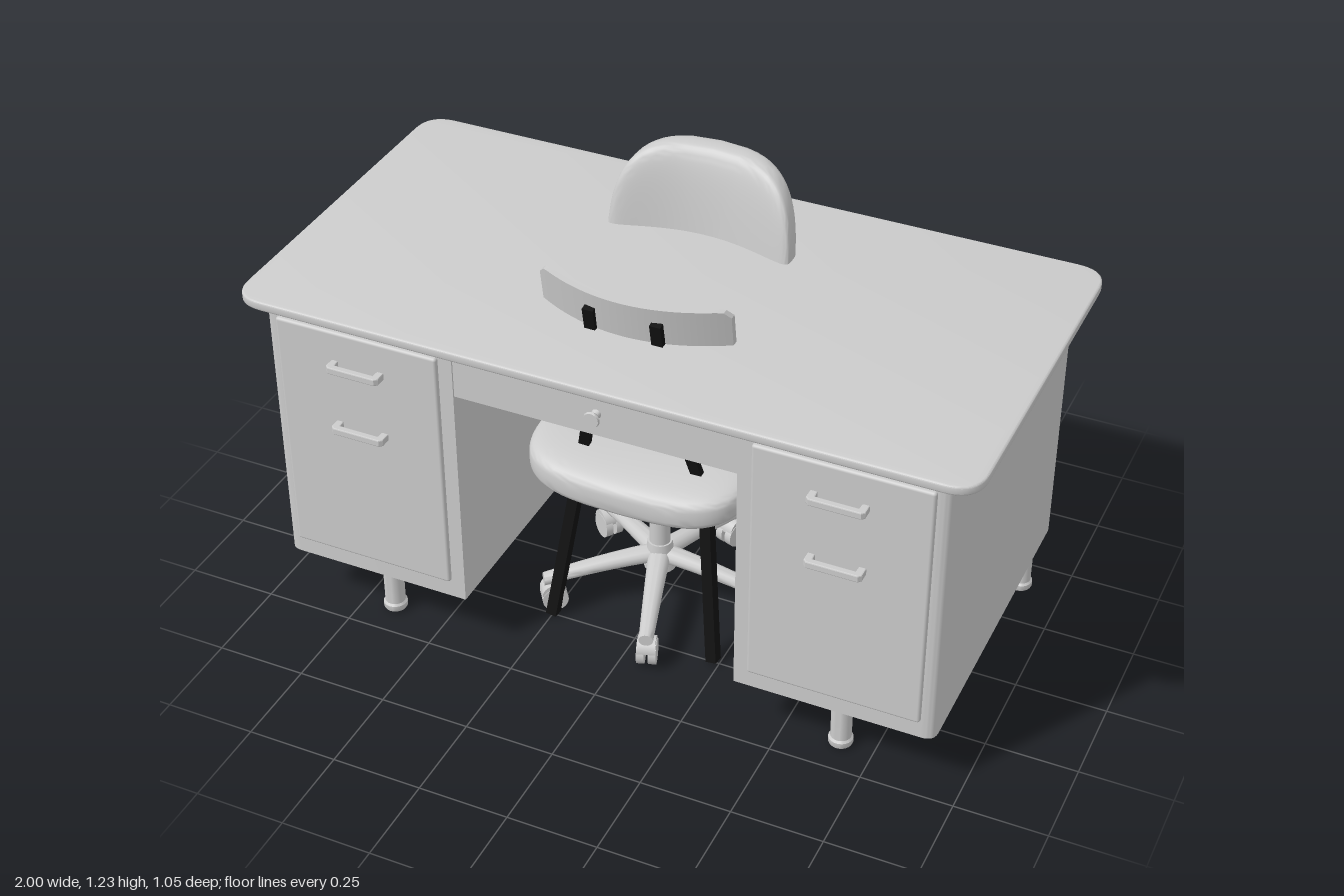
import * as THREE from 'three';
import { mergeVertices, toCreasedNormals } from 'three/addons/utils/BufferGeometryUtils.js';
import { RoundedBoxGeometry } from 'three/addons/geometries/RoundedBoxGeometry.js';

const grey = new THREE.MeshStandardMaterial({ color: 0xcccccc });
const black = new THREE.MeshStandardMaterial({ color: 0x111111 });

function add(parent, name, geo, x = 0, y = 0, z = 0, mat = grey) {
  const m = new THREE.Mesh(geo, mat);
  m.name = name;
  m.position.set(x, y, z);
  parent.add(m);
  return m;
}

function group(parent, name, x = 0, y = 0, z = 0) {
  const g = new THREE.Group();
  g.name = name;
  g.position.set(x, y, z);
  parent.add(g);
  return g;
}

// Moves every vertex by a rule and rebuilds smooth normals
function deform(geo, rule, crease = 0.7) {
  geo.deleteAttribute('uv');
  geo.deleteAttribute('normal');
  geo = mergeVertices(geo, 1e-5);
  const p = geo.attributes.position, v = new THREE.Vector3();
  for (let i = 0; i < p.count; i++) {
    v.fromBufferAttribute(p, i);
    rule(v);
    p.setXYZ(i, v.x, v.y, v.z);
  }
  return toCreasedNormals(geo, crease);
}

// Padded block: a unit sphere squared off; flat axis is z
function cushion(hw, hh, hd, eOutline, eEdge, rule) {
  const pow = (a, e) => Math.sign(a) * Math.abs(a) ** e;
  return deform(new THREE.SphereGeometry(1, 64, 36).rotateX(Math.PI / 2), v => {
    const r = Math.min(1, Math.hypot(v.x, v.y)), a = Math.atan2(v.y, v.x);
    const rr = r < 1e-4 ? 0 : r ** eEdge;
    v.set(hw * rr * pow(Math.cos(a), eOutline), hh * rr * pow(Math.sin(a), eOutline), hd * pow(v.z, eEdge));
    rule(v);
  }, 1.2);
}

// Plan outline with its own radius at the +x and -x corners, raised along y
function slab(x0, x1, hz, rLeft, rRight, height, bevel = 0) {
  const b = bevel, s = new THREE.Shape();
  x0 += b; x1 -= b; hz -= b;
  s.moveTo(x0 + rLeft, -hz);
  s.lineTo(x1 - rRight, -hz);
  s.quadraticCurveTo(x1, -hz, x1, -hz + rRight);
  s.lineTo(x1, hz - rRight);
  s.quadraticCurveTo(x1, hz, x1 - rRight, hz);
  s.lineTo(x0 + rLeft, hz);
  if (rLeft) s.quadraticCurveTo(x0, hz, x0, hz - rLeft);
  s.lineTo(x0, -hz + rLeft);
  if (rLeft) s.quadraticCurveTo(x0, -hz, x0 + rLeft, -hz);
  const g = new THREE.ExtrudeGeometry(s, {
    depth: height - 2 * b, bevelEnabled: b > 0, bevelSize: b, bevelThickness: b, bevelSegments: 3, curveSegments: 10 });
  return toCreasedNormals(g.rotateX(-Math.PI / 2).translate(0, b, 0), 0.6);
}

// Square bar between two points
function bar(parent, name, a, b, w, d) {
  const A = new THREE.Vector3(...a), B = new THREE.Vector3(...b), dir = B.clone().sub(A);
  const m = add(parent, name, new THREE.BoxGeometry(w, dir.length(), d), 0, 0, 0, black);
  m.position.copy(A).add(B).multiplyScalar(0.5);
  m.quaternion.setFromUnitVectors(new THREE.Vector3(0, 1, 0), dir.normalize());
}

function handleGeometry() {
  const s = new THREE.Shape();
  [[-0.073, 0], [-0.073, 0.03], [-0.066, 0.037], [0.066, 0.037], [0.073, 0.03], [0.073, 0],
    [0.06, 0], [0.058, 0.025], [-0.058, 0.025], [-0.06, 0]].forEach(([x, y], i) => i ? s.lineTo(x, y) : s.moveTo(x, y));
  const g = new THREE.ExtrudeGeometry(s, { depth: 0.014, bevelSize: 0.003, bevelThickness: 0.003, bevelSegments: 2 });
  return g.rotateX(Math.PI / 2).translate(0, 0.007, 0);
}

function buildDesk(root) {
  const desk = group(root, 'desk');
  add(desk, 'deskTop', slab(-1, 1, 0.52, 0.08, 0.08, 0.026, 0.005), 0, 0.969, 0);
  add(desk, 'centreDrawer', new THREE.BoxGeometry(0.78, 0.14, 0.95), 0, 0.9, 0);
  const knob = [[0, 0], [0.014, 0], [0.009, 0.012], [0.022, 0.028], [0.02, 0.034], [0, 0.034]];
  add(desk, 'drawerKnob', toCreasedNormals(new THREE.LatheGeometry(knob.map(p => new THREE.Vector2(...p)), 24), 0.6),
    0.01, 0.895, 0.473).rotation.x = Math.PI / 2;
  const foot = [[0, 0], [0.031, 0], [0.033, 0.004], [0.033, 0.018], [0.028, 0.024], [0.028, 0.18], [0, 0.18]];
  const footGeo = toCreasedNormals(new THREE.LatheGeometry(foot.map(p => new THREE.Vector2(...p)), 24), 0.6);
  for (const s of [-1, 1]) {
    const ped = group(desk, s > 0 ? 'leftPedestal' : 'rightPedestal');
    // Only the outer corners are rounded
    const body = add(ped, 'cabinet', slab(0.388, 0.931, 0.48, 0, 0.035, 0.799), 0, 0.171, 0);
    if (s < 0) body.rotation.y = Math.PI;
    add(ped, 'drawerPanel', new RoundedBoxGeometry(0.466, 0.716, 0.03, 3, 0.008), s * 0.66, 0.582, 0.477);
    for (const y of [0.845, 0.655]) add(ped, 'handle', handleGeometry(), s * 0.657, y, 0.488);
    for (const [x, z] of [[0.88, -0.4], [0.44, -0.4], [0.658, 0.4]]) add(ped, 'foot', footGeo, s * x, 0, z);
  }
}

function buildOfficeChair(root) {
  const chair = group(root, 'swivelChair', -0.02, 0, 0.043);
  // Five-arm base with twin-wheel casters
  const armGeo = deform(new THREE.CylinderGeometry(0.022, 0.022, 0.325, 14, 12).rotateZ(-Math.PI / 2).translate(0.1625, 0, 0), v => {
    const t = v.x / 0.325;
    v.z *= 1.45 - 0.55 * t;
    v.y = v.y * (1.1 - 0.3 * t) + 0.14 - 0.045 * t ** 1.5;
  });
  for (let i = 0; i < 5; i++) {
    const arm = group(chair, 'baseArm');
    arm.rotation.y = i * Math.PI * 0.4;
    add(arm, 'arm', armGeo);
    add(arm, 'casterStem', new THREE.CylinderGeometry(0.014, 0.014, 0.06, 16), 0.305, 0.075, 0);
    add(arm, 'casterHood', new THREE.CylinderGeometry(0.033, 0.033, 0.05, 20, 1, false, 0, Math.PI)
      .rotateX(Math.PI / 2).rotateZ(Math.PI / 2), 0.3, 0.052, 0).material = hoodMaterial;
    for (const z of [-0.016, 0.016])
      add(arm, 'casterWheel', new THREE.CylinderGeometry(0.036, 0.036, 0.021, 24).rotateX(Math.PI / 2), 0.297, 0.037, z);
  }
  add(chair, 'hub', new THREE.CylinderGeometry(0.034, 0.045, 0.085, 24), 0, 0.14, 0);
  add(chair, 'column', new THREE.CylinderGeometry(0.029, 0.029, 0.23, 24), 0, 0.285, 0);
  add(chair, 'tiltMechanism', new RoundedBoxGeometry(0.23, 0.05, 0.24, 2, 0.01), 0, 0.415, -0.02);
  add(chair, 'mechanismCover', new RoundedBoxGeometry(0.17, 0.04, 0.18, 2, 0.01), 0, 0.393, -0.02);
  add(chair, 'lever', new THREE.CylinderGeometry(0.006, 0.006, 0.18, 10).rotateZ(Math.PI / 2), -0.16, 0.403, 0);
  add(chair, 'leverGrip', new RoundedBoxGeometry(0.06, 0.012, 0.025, 2, 0.005), -0.225, 0.403, 0);

  // Seat dips in the middle and curls down at the front
  add(chair, 'seat', cushion(0.316, 0.275, 0.062, 0.5, 0.5, v => {
    const lift = 0.018 * (v.x / 0.316) ** 2 - 0.012 * Math.max(0, -v.y / 0.275) ** 3;
    v.set(v.x, v.z + lift, -v.y);
  }), 0, 0.498, -0.008);

  // Backrest wraps forward at the sides and leans back
  add(chair, 'backrest', cushion(0.263, 0.322, 0.056, 0.5, 0.5, v => {
    v.z += 0.075 * (v.x / 0.263) ** 2 - 0.14 * v.y;
    v.x *= 1 - 0.06 * (v.y / 0.322) ** 2;
  }), -0.005, 0.903, -0.333);

  // Flat bracket linking mechanism to backrest
  const s = new THREE.Shape();
  s.moveTo(-0.05, 0.4);
  s.lineTo(-0.27, 0.4);
  s.quadraticCurveTo(-0.34, 0.4, -0.345, 0.48);
  s.lineTo(-0.37, 0.78);
  s.lineTo(-0.35, 0.78);
  s.lineTo(-0.325, 0.48);
  s.quadraticCurveTo(-0.32, 0.42, -0.27, 0.42);
  s.lineTo(-0.05, 0.42);
  const bracket = new THREE.ExtrudeGeometry(s, { depth: 0.1, bevelEnabled: false, curveSegments: 8 });
  add(chair, 'backBracket', toCreasedNormals(bracket.translate(0, 0, -0.05).rotateY(-Math.PI / 2), 0.6));
}
const hoodMaterial = new THREE.MeshStandardMaterial({ color: 0xcccccc, side: THREE.DoubleSide });

function buildVisitorChair(root) {
  const chair = group(root, 'visitorChair', -0.009, 0, 0);
  for (const s of [-1, 1]) {
    // Rear legs bend at the seat and run up to hold the back
    const pts = [[0.24, 0, 0.248], [0.18, 0.48, 0.17], [0.093, 0.86, 0.245], [0.092, 1.06, 0.284]];
    for (let i = 0; i < 3; i++)
      bar(chair, 'rearLeg', [s * pts[i][0], pts[i][1], pts[i][2]], [s * pts[i + 1][0], pts[i + 1][1], pts[i + 1][2]], 0.03, i ? 0.018 : 0.034);
    bar(chair, 'frontLeg', [s * 0.24, 0, -0.268], [s * 0.18, 0.48, -0.17], 0.03, 0.034);
  }
  add(chair, 'thinSeat', new RoundedBoxGeometry(0.46, 0.025, 0.42, 2, 0.01), 0, 0.49, 0);
  // Thin curved back panel
  const panel = new THREE.Shape();
  panel.absarc(0.025, -0.025, 0.001, 0, 0.1);
  const geo = deform(new THREE.BoxGeometry(0.526, 0.2, 0.018, 32, 8, 1), v => {
    const u = v.x / 0.263;
    // Rounded corners
    const c = Math.max(0, (Math.abs(v.x) - 0.233) / 0.03);
    v.y *= 1 - 0.2 * (1 - Math.sqrt(Math.max(0, 1 - c * c)));
    v.z += 0.17 * v.y - 0.078 * u * u;
  }, 0.6);
  add(chair, 'backPanel', geo, 0, 1.003, 0.268);
}

export function createModel() {
  const root = new THREE.Group();
  root.name = 'deskWithChairs';
  buildDesk(root);
  buildOfficeChair(root);
  buildVisitorChair(root);
  return root;
}
